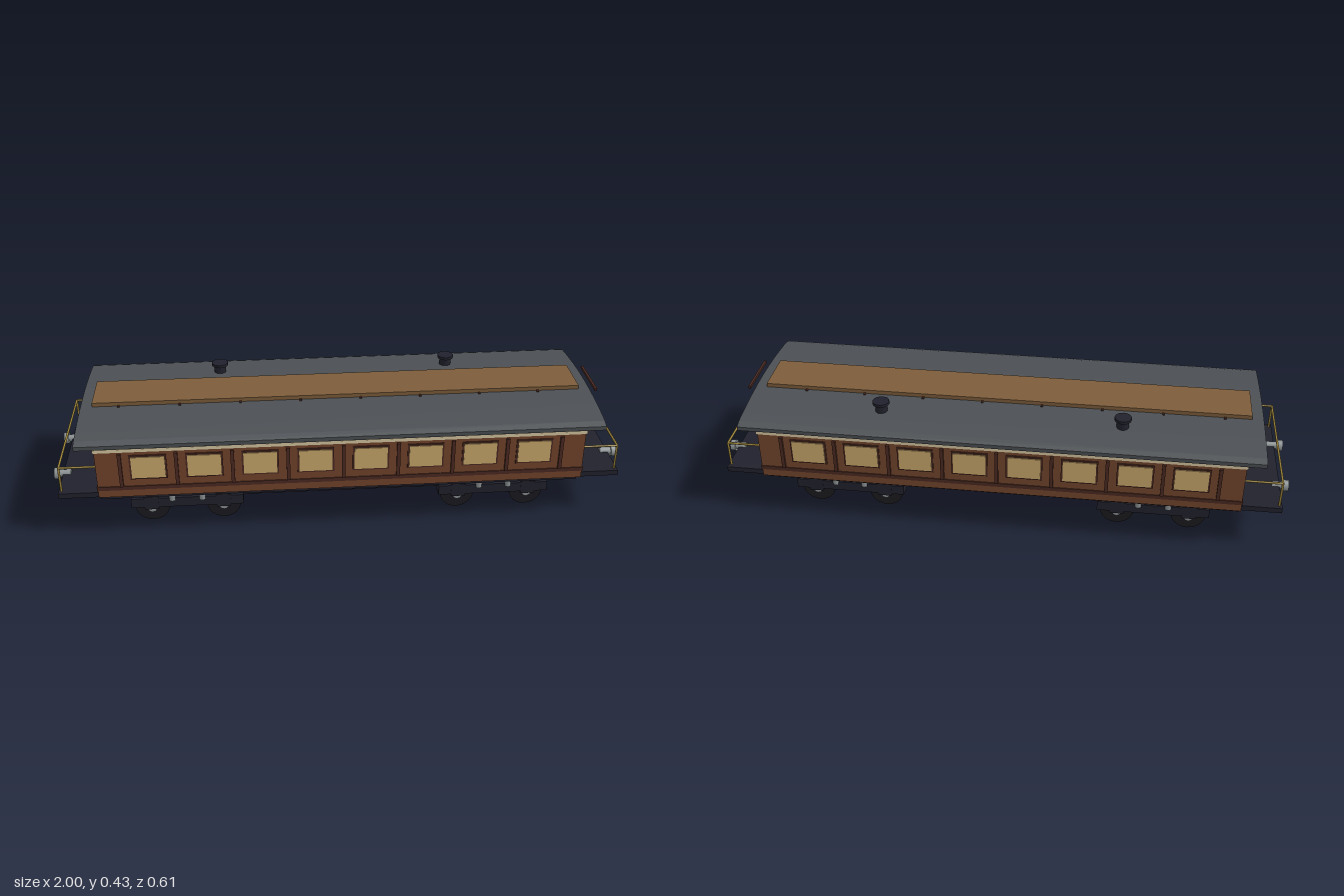
import * as THREE from 'three';

const mat = (name, color, opts = {}) => {
  const m = new THREE.MeshStandardMaterial({ color, ...opts });
  m.name = name;
  return m;
};

export function createModel() {
  const M = {
    body: mat('walnut', 0x74452c),
    trim: mat('dark wood', 0x4b2a22),
    roof: mat('slate roof', 0x4c5054),
    ridge: mat('tan ridge', 0x7d5d3b),
    cream: mat('cream', 0xd8c8a2),
    glass: mat('warm glass', 0xcbaa6d),
    frame: mat('navy iron', 0x21212d),
    wheel: mat('black iron', 0x1b1b20),
    steel: mat('steel', 0x8b9193),
    brass: mat('brass', 0x9a8238),
  };
  const root = new THREE.Group();
  root.name = 'railwayCarriage';

  const add = (name, geo, material, x, y, z, parent = root) => {
    const mesh = new THREE.Mesh(geo, material);
    mesh.name = name;
    mesh.position.set(x, y, z);
    parent.add(mesh);
    return mesh;
  };
  const box = (name, m, w, h, d, x, y, z, parent) =>
    add(name, new THREE.BoxGeometry(w, h, d), m, x, y, z, parent);
  // Cylinder along the given axis
  const rod = (name, m, r, len, axis, x, y, z, seg = 12, parent = root) => {
    const g = new THREE.CylinderGeometry(r, r, len, seg);
    if (axis === 'x') g.rotateZ(Math.PI / 2);
    if (axis === 'z') g.rotateX(Math.PI / 2);
    return add(name, g, m, x, y, z, parent);
  };

  // Body shell with wrapped bands
  box('body', M.body, 1.66, 0.2, 0.566, 0, 0.262, 0);
  box('lowerRail', M.trim, 1.666, 0.014, 0.572, 0, 0.197, 0);
  box('creamBand', M.cream, 1.668, 0.012, 0.572, 0, 0.343, 0);

  // Roof: shallow arch extruded along x
  const arch = [[0.304, 0.36], [0.304, 0.374], [0.28, 0.383], [0.24, 0.389], [0.18, 0.395], [0.12, 0.4], [0.06, 0.403], [0, 0.404]];
  const outline = [...arch, ...arch.slice(0, -1).reverse().map(([z, y]) => [-z, y])];
  const roofGeo = new THREE.ExtrudeGeometry(
    new THREE.Shape(outline.map(([z, y]) => new THREE.Vector2(z, y))), { depth: 1.78, bevelEnabled: false });
  roofGeo.translate(0, 0, -0.89).rotateY(Math.PI / 2);
  add('roof', roofGeo, M.roof, 0, 0, 0);

  // Ridge board on cross battens
  box('ridgeBoard', M.ridge, 1.7, 0.014, 0.164, 0, 0.41, 0);
  for (let i = 0; i < 9; i++) box('ridgeBatten', M.trim, 0.008, 0.009, 0.182, -0.76 + i * 0.209, 0.4015, 0);

  // Roof vents
  for (const x of [-0.415, 0.415]) {
    rod('ventNeck', M.frame, 0.021, 0.04, 'y', x, 0.408, -0.17, 16);
    rod('ventCap', M.frame, 0.029, 0.01, 'y', x, 0.428, -0.17, 16);
  }

  // Side windows, frames and pillars
  for (const s of [-1, 1]) {
    for (let i = 0; i < 8; i++) {
      const x = -0.655 + i * 0.187;
      box('windowFrame', M.trim, 0.124, 0.092, 0.006, x, 0.278, s * 0.284);
      box('sideWindow', M.glass, 0.112, 0.08, 0.007, x, 0.278, s * 0.2865);
    }
    for (let i = 0; i < 9; i++)
      box('sidePillar', M.trim, 0.012, 0.126, 0.01, -0.748 + i * 0.187, 0.268, s * 0.286);
  }

  // Underframe
  box('platform', M.frame, 1.94, 0.019, 0.52, 0, 0.159, 0);
  box('chassis', M.frame, 1.66, 0.024, 0.478, 0, 0.139, 0);
  for (const s of [-1, 1]) box('soleBeam', M.frame, 0.78, 0.04, 0.024, 0, 0.11, s * 0.176);

  // Both ends: door, railing, buffers and bogie
  for (const e of [-1, 1]) {
    box('endDoor', M.trim, 0.012, 0.17, 0.206, e * 0.834, 0.26, 0);
    box('endWindow', M.glass, 0.006, 0.066, 0.106, e * 0.839, 0.301, 0);

    rod('endHandrail', M.brass, 0.004, 0.484, 'z', e * 0.96, 0.26, 0, 8);
    for (const s of [-1, 1]) {
      rod('railPost', M.brass, 0.004, 0.094, 'y', e * 0.96, 0.213, s * 0.242, 8);
      rod('sideHandrail', M.brass, 0.004, 0.13, 'x', e * 0.896, 0.26, s * 0.242, 8);
      rod('bufferShaft', M.steel, 0.013, 0.045, 'x', e * 0.965, 0.167, s * 0.123, 12);
      rod('bufferHead', M.steel, 0.02, 0.018, 'x', e * 0.991, 0.167, s * 0.123, 12);
    }

    const bogie = new THREE.Group();
    bogie.name = 'bogie';
    bogie.position.x = e * 0.54;
    root.add(bogie);
    for (const s of [-1, 1]) {
      box('bogieSide', M.frame, 0.39, 0.036, 0.018, 0, 0.087, s * 0.206, bogie);
      box('bogieCrossbeam', M.frame, 0.03, 0.038, 0.41, s * 0.18, 0.085, 0, bogie);
      const wx = s * 0.125;
      rod('axle', M.wheel, 0.012, 0.34, 'z', wx, 0.06, 0, 12, bogie);
      for (const t of [-1, 1]) {
        rod('wheel', M.wheel, 0.06, 0.024, 'z', wx, 0.06, t * 0.176, 24, bogie);
        rod('hub', M.steel, 0.016, 0.018, 'z', wx, 0.058, t * 0.196, 12, bogie);
        box('axleBox', M.frame, 0.05, 0.05, 0.014, wx, 0.086, t * 0.209, bogie);
        rod('spring', M.steel, 0.011, 0.036, 'y', s * 0.052, 0.112, t * 0.211, 10, bogie);
      }
    }
    box('bolster', M.frame, 0.09, 0.038, 0.41, 0, 0.085, 0, bogie);
    rod('pivot', M.frame, 0.03, 0.03, 'y', 0, 0.115, 0, 12, bogie);
  }
  return root;
}
